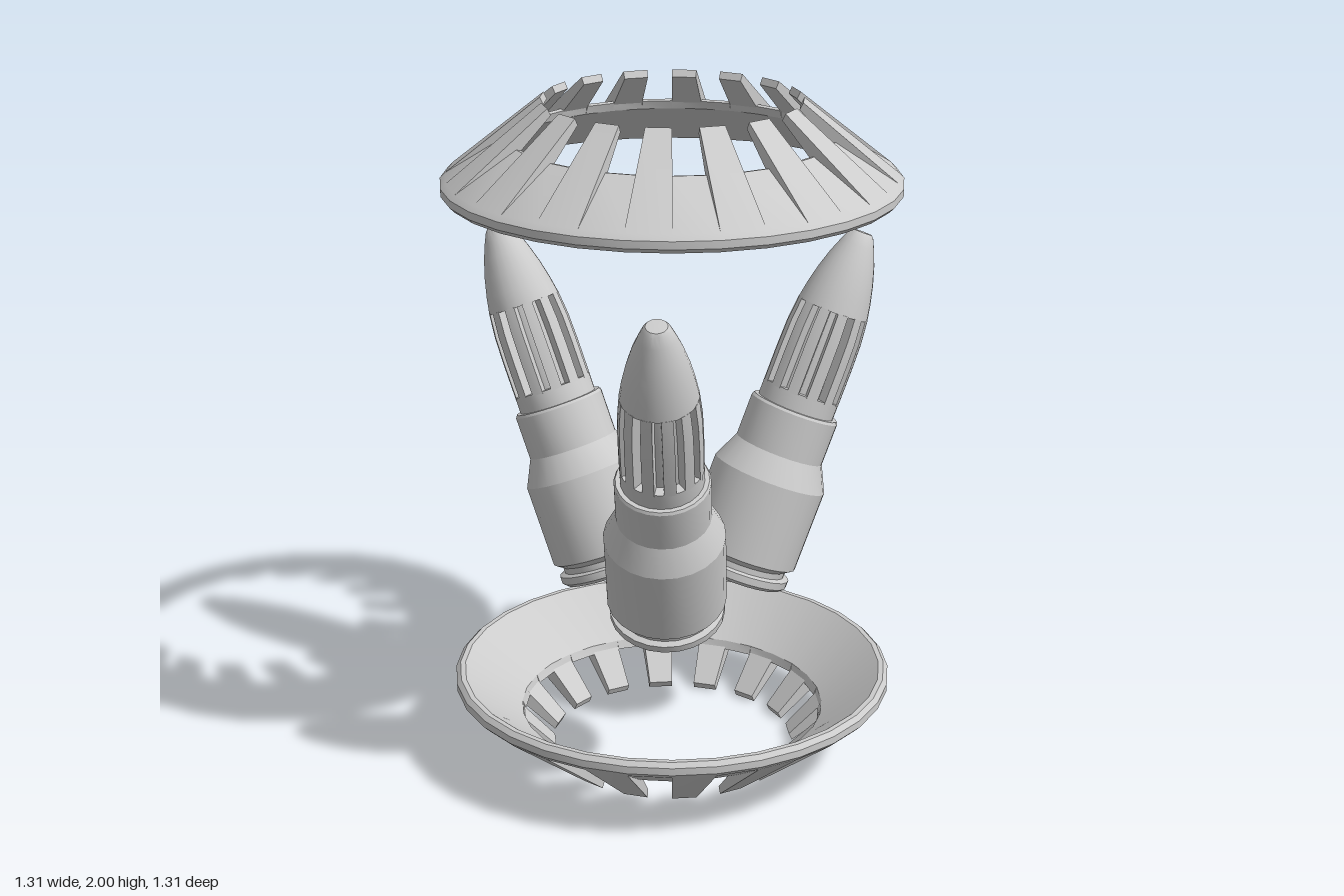
import * as THREE from 'three';
import { mergeGeometries, toCreasedNormals } from 'three/addons/utils/BufferGeometryUtils.js';

const material = new THREE.MeshStandardMaterial({ color: 0xcccccc });
const points = (list) => list.map(([r, y]) => new THREE.Vector2(r, y));

function mesh(name, geometry, crease = 0.42) {
  const m = new THREE.Mesh(toCreasedNormals(geometry, crease), material);
  m.name = name;
  return m;
}

// Solid wedge: a closed counterclockwise (r, y) section swept from phi over len
function sector(section, phi, len, segments = 1) {
  const pts = points(section);
  const wall = new THREE.LatheGeometry([...pts, pts[0]], segments, phi, len);
  const caps = [phi, phi + len].map((angle, end) => {
    const cap = new THREE.ShapeGeometry(new THREE.Shape(pts)).rotateY(angle - Math.PI / 2);
    if (end) cap.index.array.reverse();
    return cap;
  });
  return mergeGeometries([wall, ...caps].map((g) => g.toNonIndexed()));
}

// Conical ring: raised teeth alternate with shorter, lower sectors
function createToothedRing() {
  const rim = [[0.625, 1.735], [0.64, 1.735], [0.653, 1.748], [0.653, 1.77], [0.638, 1.785]];
  const tooth = [...rim, [0.368, 2.0], [0.358, 1.98], [0.45, 1.885], [0.455, 1.865]];
  const gap = [...rim, [0.46, 1.893], [0.445, 1.89], [0.455, 1.865]];
  const step = Math.PI / 16;
  const parts = [];
  for (let k = 0; k < 32; k++) parts.push(sector(k % 2 ? gap : tooth, k * step, step));
  return mesh('toothedRing', mergeGeometries(parts));
}

// Cartridge standing on its base along +y
function createCartridge() {
  const group = new THREE.Group();
  const lathe = (name, profile) =>
    group.add(mesh(name, new THREE.LatheGeometry(points(profile), 24)));

  lathe('case', [
    [0, 0], [0.158, 0], [0.168, 0.01], [0.168, 0.032], [0.15, 0.037], [0.15, 0.055],
    [0.174, 0.072], [0.174, 0.32], [0.136, 0.4], [0.136, 0.53], [0.131, 0.538], [0, 0.538],
  ]);
  lathe('bulletBase', [[0.118, 0.53], [0.118, 0.59], [0.08, 0.59]]);
  lathe('bulletCore', [[0.086, 0.58], [0.084, 0.75], [0.076, 0.86]]);
  lathe('bulletTip', [
    [0.07, 0.85], [0.109, 0.85], [0.1, 0.9], [0.087, 0.955], [0.07, 1.01],
    [0.052, 1.055], [0.038, 1.085], [0.03, 1.094], [0, 1.096],
  ]);

  // Ribs around the slotted part
  const rib = [[0.08, 0.585], [0.118, 0.585], [0.118, 0.7], [0.116, 0.78], [0.109, 0.852], [0.07, 0.852]];
  const ribs = [];
  for (let i = 0; i < 12; i++) {
    ribs.push(sector(rib, ((i + 0.22) * Math.PI) / 6, (Math.PI / 6) * 0.56, 2));
  }
  group.add(mesh('bulletRibs', mergeGeometries(ribs)));
  return group;
}

export function createModel() {
  const model = new THREE.Group();
  model.name = 'cartridgeDisplay';

  const upper = createToothedRing();
  upper.name = 'upperRing';
  const lower = upper.clone();
  lower.name = 'lowerRing';
  lower.rotation.x = Math.PI;
  lower.position.y = 2;
  model.add(upper, lower);

  // Three cartridges lean outward, evenly spaced
  const cartridge = createCartridge();
  for (const [name, angle] of [
    ['rightCartridge', Math.PI],
    ['backCartridge', Math.PI / 3],
    ['frontCartridge', -Math.PI / 3],
  ]) {
    const pivot = new THREE.Group();
    pivot.name = name;
    pivot.rotation.y = angle;
    const body = cartridge.clone();
    body.position.set(0.205, 0.525, 0);
    body.rotation.z = -THREE.MathUtils.degToRad(22.7);
    pivot.add(body);
    model.add(pivot);
  }
  return model;
}
